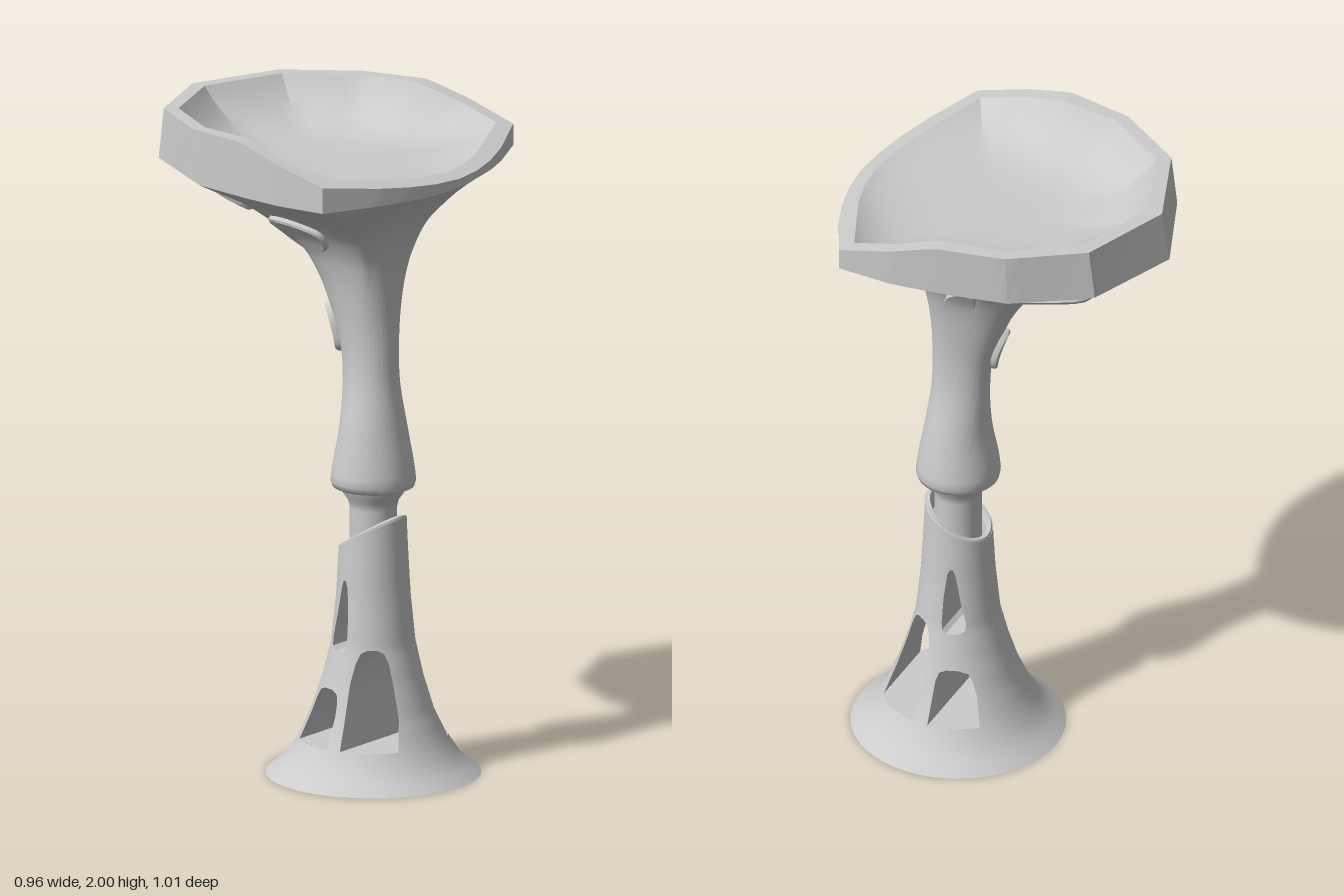
import * as THREE from 'three';
import { toCreasedNormals } from 'three/addons/utils/BufferGeometryUtils.js';

const AXIS_Z = 0.185; // the column stands forward of the centre
const V = (x, y, z) => new THREE.Vector3(x, y, z);
const material = new THREE.MeshStandardMaterial({ color: 0xcccccc, side: THREE.DoubleSide });

// Interpolates rows of [key, ...values]
function table(rows, Type = THREE.LinearInterpolant) {
  const n = rows[0].length - 1;
  const it = new Type(rows.map(r => r[0]), rows.flatMap(r => r.slice(1)), n, new Array(n));
  return k => [...it.evaluate(k)];
}

// Skins a list of closed rings with equal point counts
function loft(rings, crease) {
  const n = rings[0].length, index = [];
  for (let i = 0; i < rings.length - 1; i++) {
    for (let k = 0; k < n; k++) {
      const a = i * n + k, b = i * n + (k + 1) % n;
      index.push(a, b, b + n, a, b + n, a + n);
    }
  }
  const g = new THREE.BufferGeometry().setFromPoints(rings.flat());
  g.setIndex(index);
  return toCreasedNormals(g, crease);
}

function add(group, name, geometry) {
  const mesh = new THREE.Mesh(geometry, material);
  mesh.name = name;
  group.add(mesh);
}

// Half outlines [x, z] from front to back, mirrored into full rings
const OUTER = [[0, .505], [.1, .495], [.2, .47], [.3, .433], [.47, .35], [.478, .18], [.46, .03], [.42, -.18], [.28, -.4], [0, -.51]];
const INNER = [[0, .46], [.09, .45], [.18, .425], [.27, .388], [.427, .32], [.433, .18], [.41, .03], [.385, -.15], [.255, -.345], [0, -.44]];

function halfOutline(points, n = 5) {
  const out = [];
  for (let i = 0; i < points.length - 1; i++) {
    for (let j = 0; j < n; j++) {
      out.push([0, 1].map(c => THREE.MathUtils.lerp(points[i][c], points[i + 1][c], j / n)));
    }
  }
  return [...out, points.at(-1)];
}
function fullOutline(points) {
  const half = halfOutline(points);
  return [...half, ...half.slice(1, -1).reverse().map(([x, z]) => [-x, z])];
}

// ---- Upper column: round neck flaring into the seat outline ----
const SLAB = 0.925;
const SIDE = .478 * SLAB, FRONT = .505 * SLAB - AXIS_Z, BACK = .51 * SLAB + AXIS_Z;
// Rows: height, side, front and back reach, blend from circle to seat outline
const bodyAt = table([
  [.895, .13, .125, .125, 0], [.93, .126, .121, .122, 0], [1.05, .106, .1, .1, 0], [1.2, .078, .079, .098, 0],
  [1.3, .074, .077, .108, 0], [1.42, .084, .08, .148, 0], [1.53, .103, .095, .205, .15], [1.6, .126, .115, .268, .4],
  [1.69, .19, .155, .44, .85], [1.735, .265, .19, .53, 1], [1.78, .36, .23, .6, 1], [1.82, SIDE, FRONT, BACK, 1],
], THREE.CubicInterpolant);
const unitHalf = halfOutline(OUTER).map(([x, z]) => {
  const dz = z * SLAB - AXIS_Z, u = [x * SLAB / SIDE, dz / (dz > 0 ? FRONT : BACK)];
  return [Math.atan2(u[0], u[1]), ...u];
});
const unitAt = table(unitHalf);

// Point on the column at angle phi (0 = front, towards +x) and height y
function bodyPoint(phi, y) {
  phi = Math.atan2(Math.sin(phi), Math.cos(phi));
  const [side, front, back, w] = bodyAt(y), a = Math.abs(phi), [ox, oz] = unitAt(a);
  const ux = THREE.MathUtils.lerp(Math.sin(a), ox, w), uz = THREE.MathUtils.lerp(Math.cos(a), oz, w);
  return V(Math.sign(phi) * ux * side, y, AXIS_Z + uz * (uz > 0 ? front : back));
}

function columnGeometry() {
  const half = unitHalf.map(u => u[0]);
  const angles = [...half, ...half.slice(1, -1).reverse().map(a => -a)];
  const ring = (r, y) => angles.map(a => V(r * Math.sin(a), y, AXIS_Z + r * Math.cos(a)));
  const rings = [ring(.05, .872), ring(.11, .872), ring(.122, .878)];
  for (let i = 0; i <= 40; i++) rings.push(angles.map(a => bodyPoint(a, .895 + .925 * i / 40)));
  return loft(rings, .8);
}

// ---- Seat: stepped slab, sloped rim and bowl ----
function seatGeometry() {
  const outer = fullOutline(OUTER), inner = fullOutline(INNER);
  const rimY = z => Math.min(2, 1.865 + (.505 - z) * .29);
  const slab = y => outer.map(([x, z]) => V(x * SLAB, y, z * SLAB));
  const rings = [
    slab(1.82), slab(1.845),
    outer.map(([x, z]) => V(x, 1.845, z)),
    outer.map(([x, z]) => { // the back leans slightly inwards
      const zt = z < 0 ? z * .952 : z;
      return V(x, rimY(zt), zt);
    }),
  ];
  for (const s of [1, .97, .93, .87, .8, .7, .55, .4, .2, 0]) {
    rings.push(inner.map(([x, z]) => V(x * s, 1.855 + (rimY(z) - 1.855) * s ** 5, .08 + (z - .08) * s)));
  }
  return loft(rings, .4);
}

// ---- Raised patches following the column surface; outline in [phi, y] ----
function patchGeometry(outline) {
  const loop = new THREE.CatmullRomCurve3(outline.map(([p, y]) => V(p * .3, y, 0)), true).getPoints(32).slice(0, -1);
  const c = loop.reduce((s, p) => s.add(p), V(0, 0, 0)).divideScalar(loop.length);
  const at = (s, lift) => loop.map(q => {
    const p = c.clone().lerp(q, s), phi = p.x / .3, y = Math.min(p.y, 1.815), e = .004;
    const du = bodyPoint(phi + e, y).sub(bodyPoint(phi - e, y));
    const dv = bodyPoint(phi, y + e).sub(bodyPoint(phi, y - e));
    return bodyPoint(phi, y).addScaledVector(du.cross(dv).normalize(), lift);
  });
  return loft([at(1, -.01), at(1, .012), at(.93, .018), at(.7, .018), at(.4, .018), at(0, .018)], .7);
}
// Angle on the +x side where the column reaches depth z
function phiAt(z, y) {
  let lo = 0, hi = Math.PI;
  for (let i = 0; i < 30; i++) {
    const m = (lo + hi) / 2;
    if (bodyPoint(m, y).z > z) lo = m; else hi = m;
  }
  return lo;
}
const oval = (phi, y, dp, dy) => [0, 1, 2, 3, 4, 5].map(i => {
  const a = i * Math.PI / 3 + .4;
  return [phi + dp * Math.cos(a), y + dy * Math.sin(a)];
});
const PATCHES = {
  largePatch: [[-.055, 1.63], [-.16, 1.655], [-.25, 1.7], [-.33, 1.76], [-.31, 1.785], [-.11, 1.76], [-.04, 1.74], [-.03, 1.66]].map(([z, y]) => [phiAt(z, y), y]),
  sidePatch: [[.17, 1.545], [.12, 1.535], [.08, 1.57], [.07, 1.62], [.1, 1.64], [.16, 1.6]].map(([z, y]) => [phiAt(z, y), y]),
  rightPatch: oval(-2, 1.655, .28, .05),
  undersidePatch: oval(-2.74, 1.72, .15, .035),
  backPatch: oval(3.35, 1.35, .38, .075),
};

// ---- Pedestal: flared shell pierced from side to side ----
const radiusAt = table([[0, .32], [.02, .295], [.05, .262], [.11, .222], [.2, .182], [.3, .15], [.4, .125], [.55, .11], [.7, .102], [.8, .098]]);
// Openings as rows of [height, front z, back z]
const HOLES = [
  [[.11, .37, .225], [.2, .345, .215], [.3, .315, .21], [.36, .298, .218], [.39, .285, .228], [.4, .27, .245]],
  [[.385, .165, .13], [.395, .178, .112], [.42, .18, .112], [.5, .178, .13], [.58, .17, .145], [.6, .162, .153]],
  [[.11, .18, .035], [.2, .18, .06], [.24, .178, .075], [.265, .17, .09], [.275, .15, .115]],
].map(rows => ({ rows, at: table(rows), low: rows[0][0], high: rows.at(-1)[0] }));
const cutY = a => .735 + .055 * Math.cos(a); // slanted top

function pedestalGeometry() {
  const pos = [], nor = [];
  const ys = [...new Set([0, .02, .035, .05, .08, .15, .175, .225, .25, .325, .45, .54, .62, .68, .74, .8, ...HOLES.flatMap(h => h.rows.map(r => r[0]))])].sort((a, b) => a - b);
  const vertex = (a, row, side) => {
    const y = row > .62 ? .62 + (row - .62) / .18 * (cutY(a) - .62) : row;
    const r = radiusAt(y)[0], lo = Math.max(0, y - .02);
    const slope = (radiusAt(Math.min(.8, y + .02))[0] - radiusAt(lo)[0]) / (Math.min(.8, y + .02) - lo);
    const n = V(side * Math.sin(a), -slope, Math.cos(a)).normalize();
    pos.push(side * r * Math.sin(a), y, AXIS_Z + r * Math.cos(a));
    nor.push(n.x, n.y, n.z);
  };
  for (let i = 0; i < ys.length - 1; i++) {
    const open = HOLES.filter(h => ys[i] >= h.low && ys[i + 1] <= h.high);
    const edges = y => [0, ...open.flatMap(h => h.at(y).map(z => Math.acos((z - AXIS_Z) / radiusAt(y)[0]))), Math.PI];
    const e0 = edges(ys[i]), e1 = edges(ys[i + 1]);
    for (let s = 0; s < e0.length; s += 2) {
      const n = Math.ceil((e0[s + 1] - e0[s]) / .13);
      const low = k => THREE.MathUtils.lerp(e0[s], e0[s + 1], k / n), top = k => THREE.MathUtils.lerp(e1[s], e1[s + 1], k / n);
      for (let k = 0; k < n; k++) {
        const a = [low(k), ys[i]], b = [low(k + 1), ys[i]], c = [top(k + 1), ys[i + 1]], d = [top(k), ys[i + 1]];
        for (const p of [a, b, c, a, c, d]) vertex(...p, 1);
        for (const p of [a, c, b, a, d, c]) vertex(...p, -1);
      }
    }
  }
  const g = new THREE.BufferGeometry();
  g.setAttribute('position', new THREE.Float32BufferAttribute(pos, 3));
  g.setAttribute('normal', new THREE.Float32BufferAttribute(nor, 3));
  return g;
}

// Walls of an opening, running straight across the pedestal
function tunnelGeometry({ rows }) {
  const corners = [...rows.map(r => [r[1], r[0]]), ...rows.map(r => [r[2], r[0]]).reverse()];
  const loop = halfOutline([...corners, corners[0]]).slice(0, -1);
  const wall = side => loop.map(([z, y]) => V(side * Math.sqrt(Math.max(0, radiusAt(y)[0] ** 2 - (z - AXIS_Z) ** 2)), y, z));
  return loft([wall(1), wall(-1)], .6);
}

// Slanted lip around the top of the pedestal
function lipGeometry() {
  const ring = (r, lift) => Array.from({ length: 48 }, (_, i) => {
    const a = i / 48 * Math.PI * 2;
    return V(r * Math.sin(a), cutY(a) + lift, AXIS_Z + r * Math.cos(a));
  });
  return loft([ring(.1, -.004), ring(.097, .004), ring(.084, .004), ring(.08, -.003), ring(.08, -.06), ring(.06, -.06)], .8);
}

export function createModel() {
  const model = new THREE.Group();
  add(model, 'pedestal', pedestalGeometry());
  HOLES.forEach(h => add(model, 'openingWalls', tunnelGeometry(h)));
  add(model, 'pedestalLip', lipGeometry());
  const profile = [[.07, .62], [.07, .81], [.076, .835], [.09, .855], [.095, .875]].map(p => new THREE.Vector2(...p));
  add(model, 'post', new THREE.LatheGeometry(profile, 40).translate(0, 0, AXIS_Z));
  add(model, 'column', columnGeometry());
  for (const [name, outline] of Object.entries(PATCHES)) add(model, name, patchGeometry(outline));
  add(model, 'seat', seatGeometry());
  return model;
}
